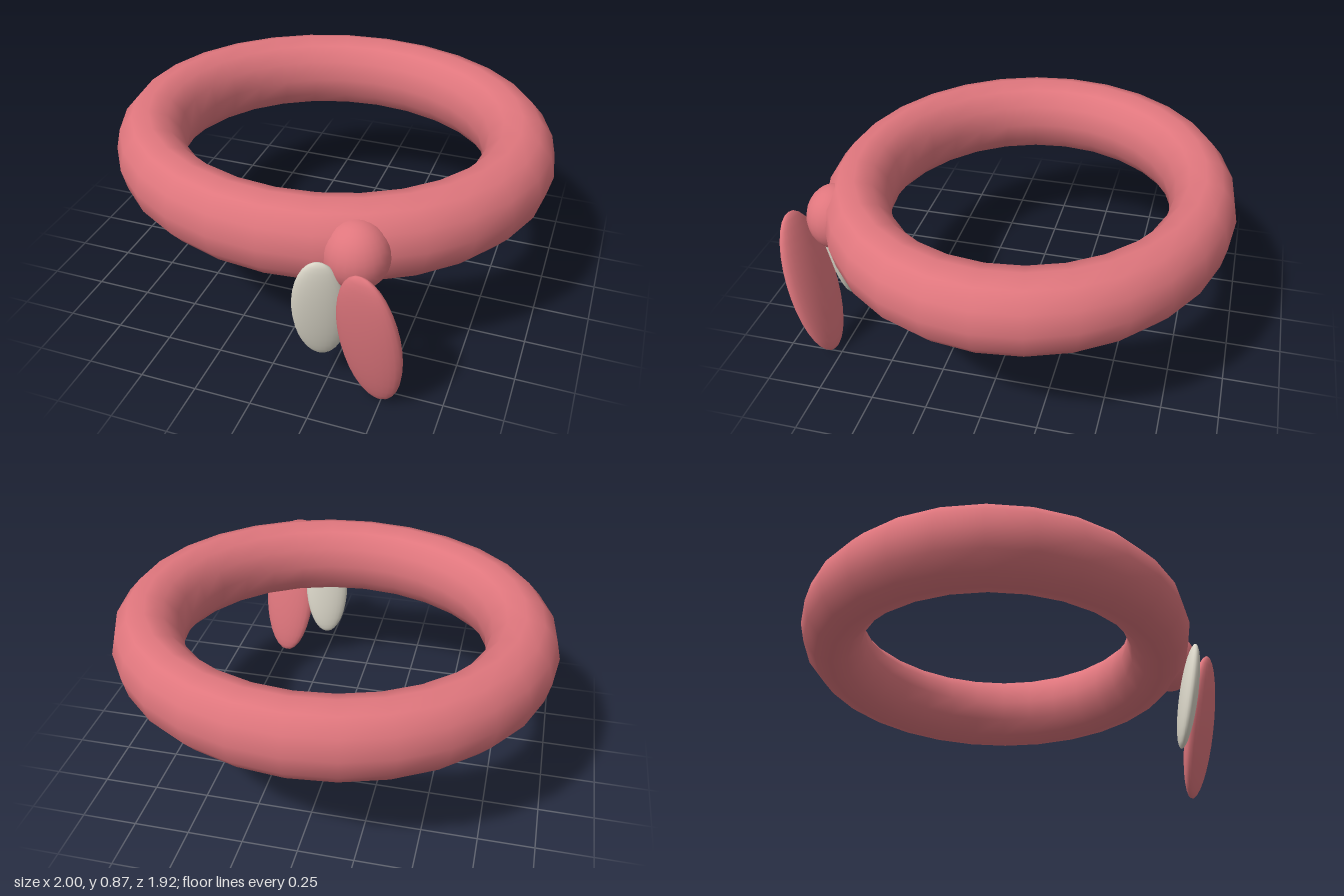
import * as THREE from 'three';

export function createModel() {
  const model = new THREE.Group();
  const coral = new THREE.MeshStandardMaterial({ color: 0xdf767d });
  coral.name = 'coral';
  const cream = new THREE.MeshStandardMaterial({ color: 0xdad6c8 });
  cream.name = 'cream';

  // Slightly oval ring, taller than a round tube
  const ringGeometry = new THREE.TorusGeometry(0.84, 0.16, 12, 28);
  ringGeometry.rotateX(Math.PI / 2);
  const ring = new THREE.Mesh(ringGeometry, coral);
  ring.name = 'ring';
  ring.scale.set(1, 1.14, 0.917);
  ring.position.set(0, 0.687, -0.042);
  model.add(ring);

  // Ellipsoid helper: centre, half sizes, yaw and forward lean
  const ball = new THREE.SphereGeometry(1, 24, 16);
  function addEllipsoid(name, material, centre, radii, yaw = 0, lean = 0) {
    const mesh = new THREE.Mesh(ball, material);
    mesh.name = name;
    mesh.position.set(...centre);
    mesh.scale.set(...radii);
    mesh.rotation.set(lean, yaw, 0, 'YXZ');
    model.add(mesh);
  }

  // Knot on the front of the ring with two hanging tails
  addEllipsoid('knot', coral, [0.367, 0.68, 0.75], [0.138, 0.15, 0.13]);
  addEllipsoid('longTail', coral, [0.463, 0.361, 0.865], [0.144, 0.368, 0.051], -0.244, 0.206);
  addEllipsoid('shortTail', cream, [0.246, 0.433, 0.832], [0.112, 0.274, 0.042], 0.24, 0.195);

  return model;
}
